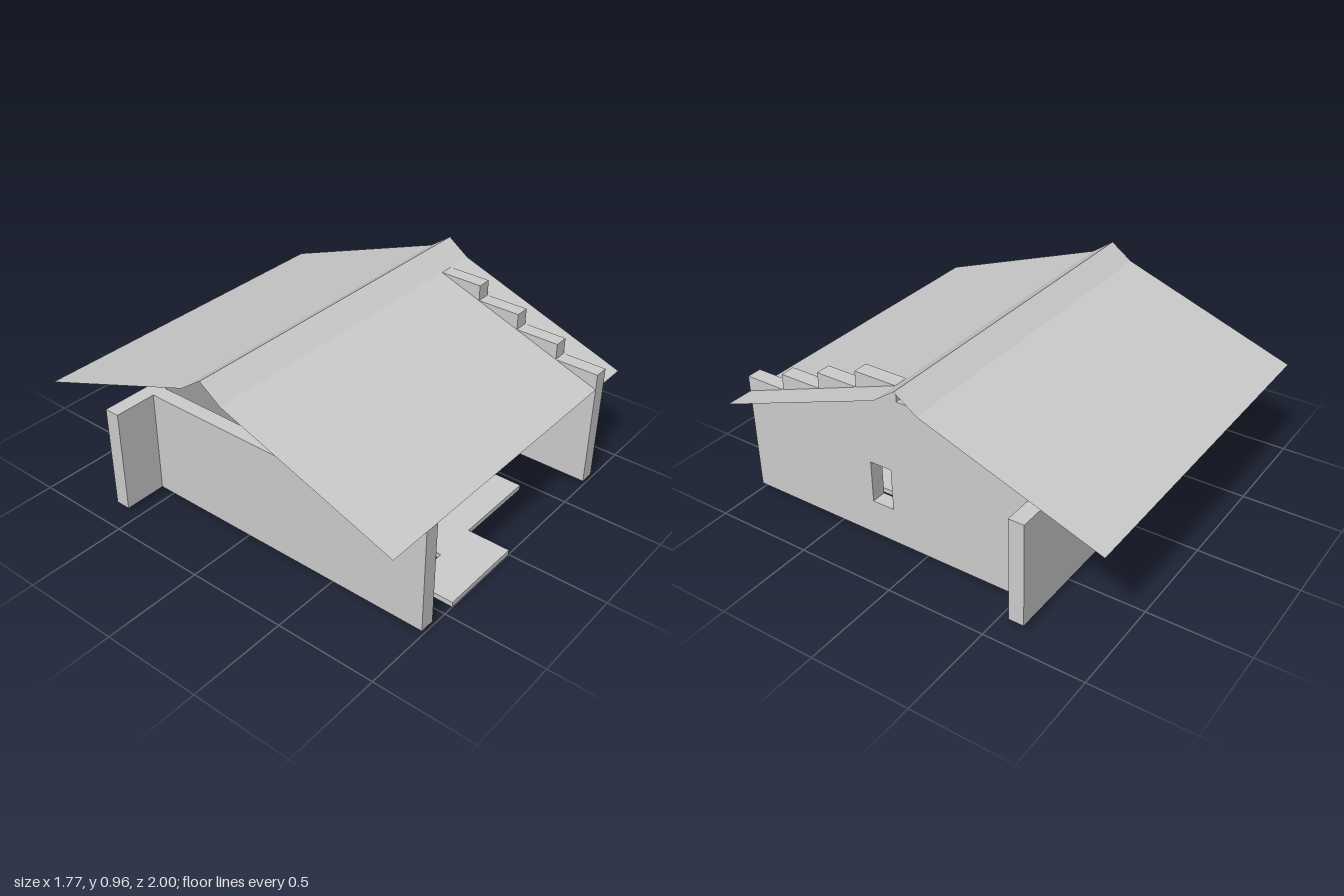
import * as THREE from 'three';

export function createModel() {
  const house = new THREE.Group();
  house.name = 'house';
  const plaster = new THREE.MeshStandardMaterial({ color: 0xcccccc, side: THREE.DoubleSide });
  plaster.name = 'paleGrey';

  const add = (name, geometry) => {
    const mesh = new THREE.Mesh(geometry, plaster);
    mesh.name = name;
    house.add(mesh);
  };
  // Box given by its limits on each axis
  const block = (name, [x0, x1], [y0, y1], [z0, z1]) => add(name,
    new THREE.BoxGeometry(x1 - x0, y1 - y0, z1 - z0)
      .translate((x0 + x1) / 2, (y0 + y1) / 2, (z0 + z1) / 2));
  const shapeOf = (points) => new THREE.Shape(points.map(([a, b]) => new THREE.Vector2(a, b)));

  const base = 0.026, eave = 0.555, backZ = -0.555;

  // Floor slab with a notch and a front step
  const floor = shapeOf([
    [-0.445, -1], [0, -1], [0, -0.78], [0.445, -0.78], [0.445, 0.333],
    [-0.445, 0.333], [-0.445, -0.333], [-0.222, -0.333], [-0.222, -0.78], [-0.445, -0.78],
  ]);
  add('floor', new THREE.ExtrudeGeometry(floor, { depth: base, bevelEnabled: false })
    .rotateX(-Math.PI / 2));

  // Stepped gable wall with a window opening, drawn with the front at -x
  const stepTops = [0.635, 0.717, 0.798, 0.878, 0.798, 0.717, 0.635];
  const stepLength = (1 - backZ) / stepTops.length;
  const outline = [[-1, base]];
  stepTops.forEach((top, i) => {
    outline.push([-1 + i * stepLength, top], [-1 + (i + 1) * stepLength, top]);
  });
  outline.push([-backZ, base]);
  const gable = shapeOf(outline);
  gable.holes.push(shapeOf([[-0.282, 0.21], [-0.282, 0.425], [-0.167, 0.425], [-0.167, 0.21]]));
  add('steppedGableWall', new THREE.ExtrudeGeometry(gable, { depth: 0.075, bevelEnabled: false })
    .rotateY(Math.PI / 2).translate(0.668, 0, 0));

  // Low side wall and the two back panels beside the doorway
  block('lowSideWall', [-0.668, -0.593], [base, eave], [backZ, 1]);
  block('backPanelWide', [-0.887, 0], [base, eave], [-0.632, backZ]);
  block('backPanelNarrow', [0.223, 0.887], [base, eave], [-0.632, backZ]);

  // Thin roof sheet, steeper near the ridge
  const profile = [[1, eave], [0.111, 0.878], [0, 0.957], [-0.111, 0.878], [-1, eave]];
  const corners = [];
  for (let i = 0; i < profile.length - 1; i++) {
    const [z0, y0] = profile[i], [z1, y1] = profile[i + 1], w = 0.887;
    corners.push(-w, y0, z0, w, y0, z0, w, y1, z1, -w, y0, z0, w, y1, z1, -w, y1, z1);
  }
  const roof = new THREE.BufferGeometry();
  roof.setAttribute('position', new THREE.Float32BufferAttribute(corners, 3));
  roof.computeVertexNormals();
  add('roof', roof);

  return house;
}
